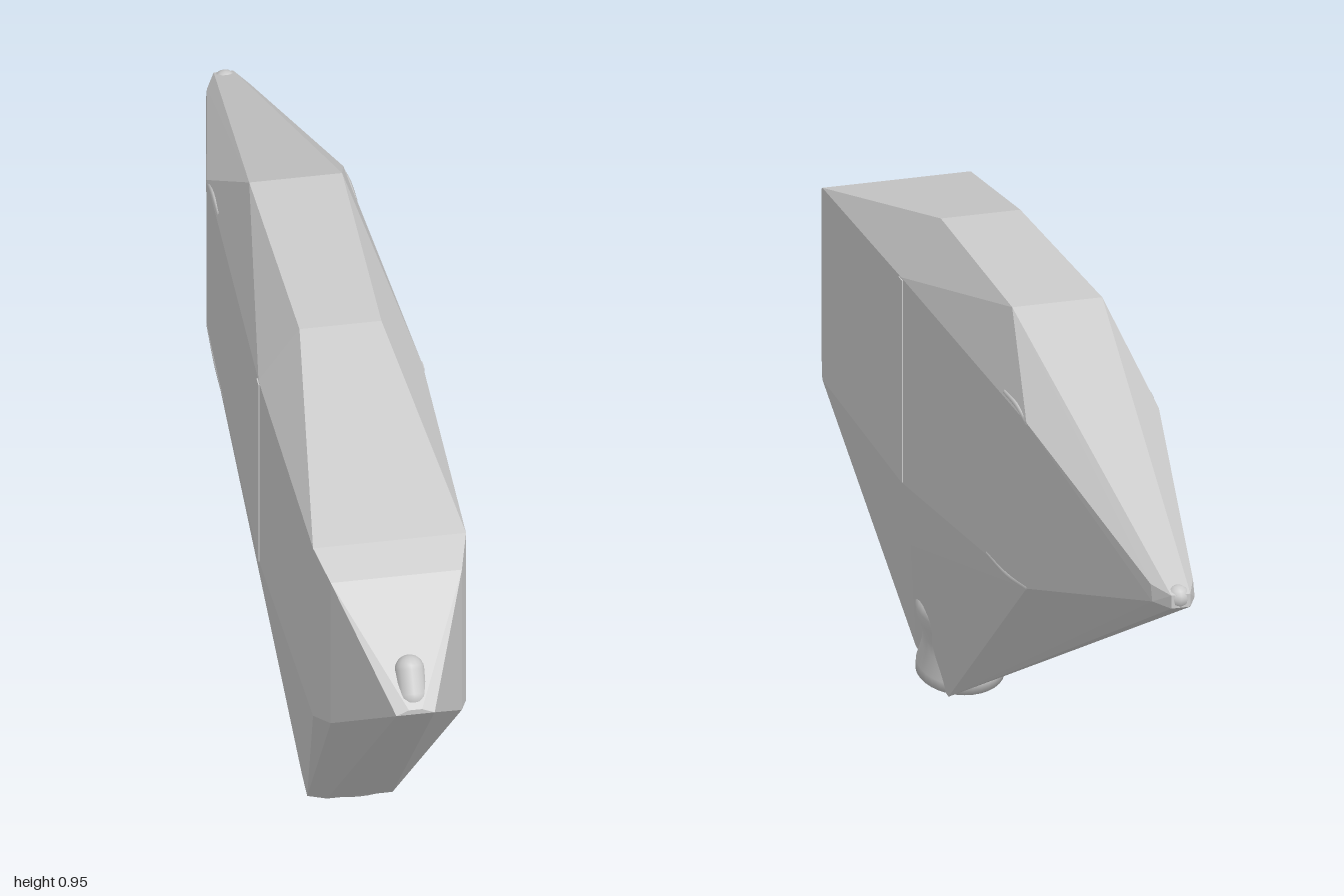
import * as THREE from 'three';
import { ConvexGeometry } from 'three/addons/geometries/ConvexGeometry.js';

const V = (x, y, z) => new THREE.Vector3(x, y, z);
const flat = new THREE.MeshStandardMaterial({ color: 0xcccccc, flatShading: true });
const smooth = new THREE.MeshStandardMaterial({ color: 0xcccccc });

export function createModel() {
  const group = new THREE.Group();
  const add = (name, geometry, material = smooth) => {
    const mesh = new THREE.Mesh(geometry, material);
    mesh.name = name;
    group.add(mesh);
    return mesh;
  };

  // Faceted shell: mirrored half-width, height, depth corners
  const corners = [
    [0.035, 0.635, 1.0], [0.012, 0.645, 1.0],          // nose
    [0.12, 0.8, 0.8], [0.12, 0.49, 0.8],               // front bevel
    [0.14, 0.83, 0.73], [0.14, 0.46, 0.73],
    [0.075, 0.95, 0.22], [0.085, 0.95, -0.245],        // flat top
    [0.15, 0.845, 0.22], [0.15, 0.45, 0.22],           // widest section
    [0.125, 0.81, -0.46], [0.125, 0.49, -0.46],        // rear bevel
    [0.04, 0.665, -0.94], [0.04, 0.635, -0.95],        // tail
    [0.018, 0.66, -0.995], [0.018, 0.635, -0.995]
  ];
  const points = corners.flatMap(([x, y, z]) => [V(x, y, z), V(-x, y, z)]);
  // Slightly lopsided keel
  points.push(V(-0.09, 0.035, 0.385), V(-0.085, 0.025, 0.3), V(0.06, 0.05, 0.42),
    V(-0.06, 0.05, 0.42), V(0.045, 0.005, 0.27), V(0.12, 0.31, 0.26));
  add('shell', new ConvexGeometry(points), flat);

  // Turned foot, mostly inside the shell
  const profile = [[0, 0], [0.081, 0], [0.081, 0.02], [0.074, 0.06], [0.076, 0.085],
    [0.088, 0.12], [0.093, 0.145], [0.09, 0.165], [0.07, 0.18], [0, 0.185]];
  const foot = add('foot', new THREE.LatheGeometry(
    profile.map(([r, y]) => new THREE.Vector2(r, y)), 32));
  foot.position.set(0, 0.027, 0.345);
  foot.rotation.x = -0.28;

  // Small nub on the sloping nose
  const nub = add('noseNub', new THREE.CapsuleGeometry(0.027, 0.045, 6, 16));
  nub.position.set(0, 0.672, 0.95);
  nub.rotation.x = -0.6;

  // Blunt tail tip
  const tip = add('tailTip', new THREE.SphereGeometry(0.022, 12, 8));
  tip.position.set(0, 0.65, -0.978);

  for (const s of [-1, 1]) {
    // Narrow vertical side ridges
    const ridge = add('sideRidge', new THREE.BoxGeometry(0.006, 0.39, 0.022));
    ridge.position.set(s * 0.149, 0.648, 0.22);
    // Shallow seams towards the rear
    const seams = [
      [V(s * 0.128, 0.48, -0.24), V(s * 0.125, 0.478, -0.35), V(s * 0.12, 0.49, -0.46)],
      [V(s * 0.123, 0.822, -0.33), V(s * 0.122, 0.82, -0.4), V(s * 0.12, 0.805, -0.46)]
    ];
    for (const path of seams) {
      add('rearSeam', new THREE.TubeGeometry(new THREE.CatmullRomCurve3(path), 12, 0.006, 6));
    }
  }
  return group;
}
